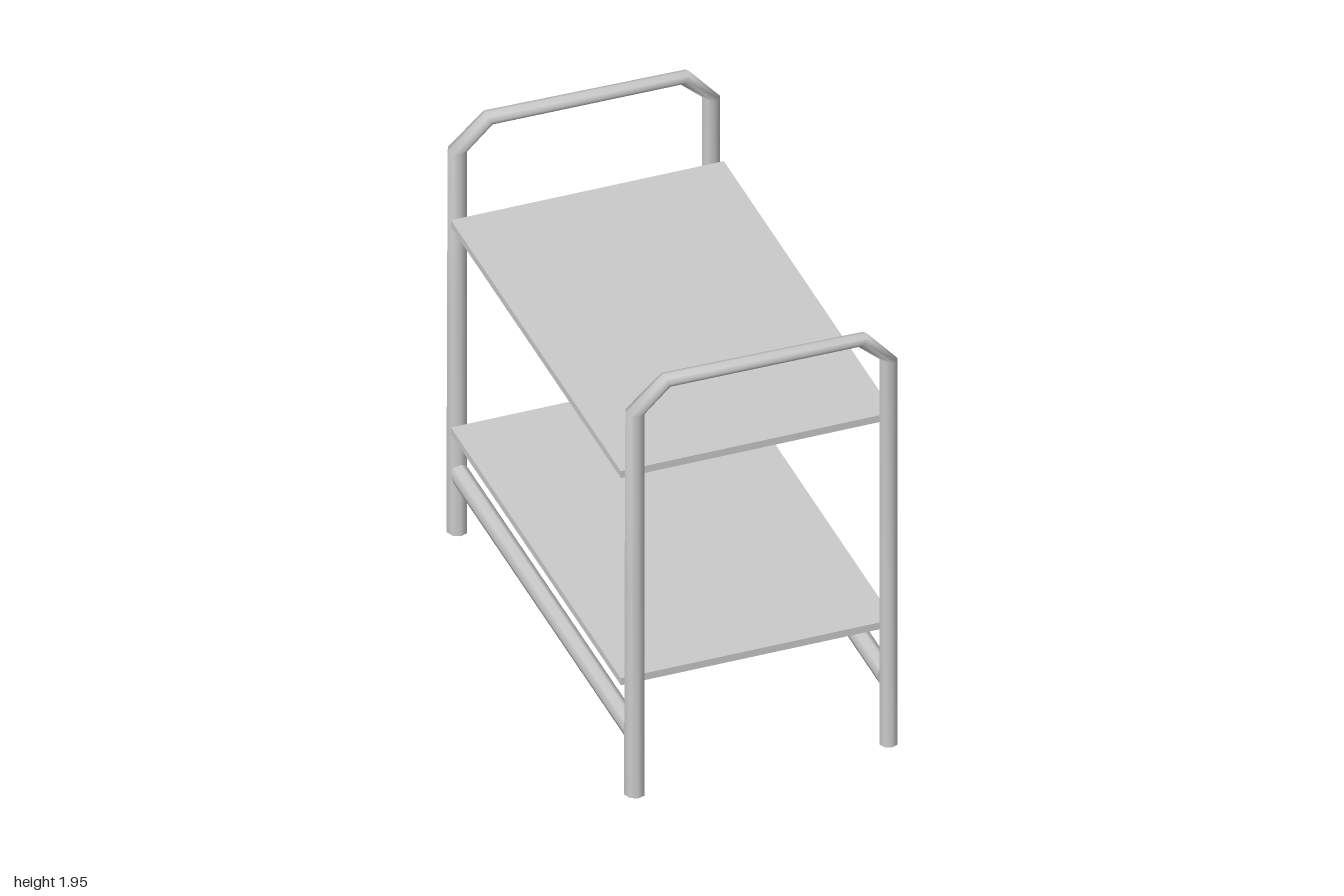
import * as THREE from 'three';

const material = new THREE.MeshStandardMaterial({ color: 0xcccccc });
const SIDES = 8;

// Tube through rings given as [outerX, outerY, innerX, innerY, halfDepth], with flat end caps.
function loftTube(rings) {
  const pos = [], index = [];
  const addRing = ([ox, oy, ix, iy, d]) => {
    const start = pos.length / 3;
    for (let k = 0; k < SIDES; k++) {
      const a = (k / SIDES) * Math.PI * 2, c = Math.cos(a) / 2;
      pos.push((ox + ix) / 2 + (ox - ix) * c, (oy + iy) / 2 + (oy - iy) * c, d * Math.sin(a));
    }
    return start;
  };
  const starts = rings.map(addRing);
  for (let i = 0; i < starts.length - 1; i++) {
    for (let k = 0; k < SIDES; k++) {
      const n = (k + 1) % SIDES, a = starts[i], b = starts[i + 1];
      index.push(a + k, a + n, b + k, a + n, b + n, b + k);
    }
  }
  // Caps have their own corners so that their edges stay sharp
  const first = addRing(rings[0]), last = addRing(rings[rings.length - 1]);
  for (let k = 1; k < SIDES - 1; k++) {
    index.push(first, first + k + 1, first + k, last, last + k, last + k + 1);
  }
  const geo = new THREE.BufferGeometry();
  geo.setAttribute('position', new THREE.Float32BufferAttribute(pos, 3));
  geo.setIndex(index);
  geo.computeVertexNormals();
  return geo;
}

export function createModel() {
  const group = new THREE.Group();
  const add = (name, geo, x, y, z) => {
    const mesh = new THREE.Mesh(geo, material);
    mesh.name = name;
    mesh.position.set(x, y, z);
    group.add(mesh);
  };

  // End frames: two legs joined by a handle with bevelled corners
  const frame = loftTube([
    [-0.565, 0.025, -0.48, 0.02, 0.043],
    [-0.563, 1.0, -0.48, 1.0, 0.043],
    [-0.56, 1.8, -0.48, 1.8, 0.041],
    [-0.405, 1.945, -0.38, 1.89, 0.034],
    [0.435, 1.932, 0.39, 1.886, 0.033],
    [0.562, 1.785, 0.488, 1.8, 0.037],
    [0.562, 0, 0.488, 0, 0.037],
  ]);
  add('frontFrame', frame, 0, 0, 0.956);
  add('backFrame', frame, 0, 0, -0.956);

  // Shelves
  const shelf = new THREE.BoxGeometry(1.125, 0.032, 1.83);
  add('lowerShelf', shelf, 0, 0.523, 0);
  add('upperShelf', shelf, 0, 1.49, 0);

  // Side rails between the front and back legs
  const rail = new THREE.CylinderGeometry(1, 1, 1.86, SIDES).rotateX(Math.PI / 2).scale(0.037, 0.05, 1);
  add('leftRail', rail, 0.525, 0.3, 0);
  add('rightRail', rail, -0.522, 0.305, 0);

  return group;
}
